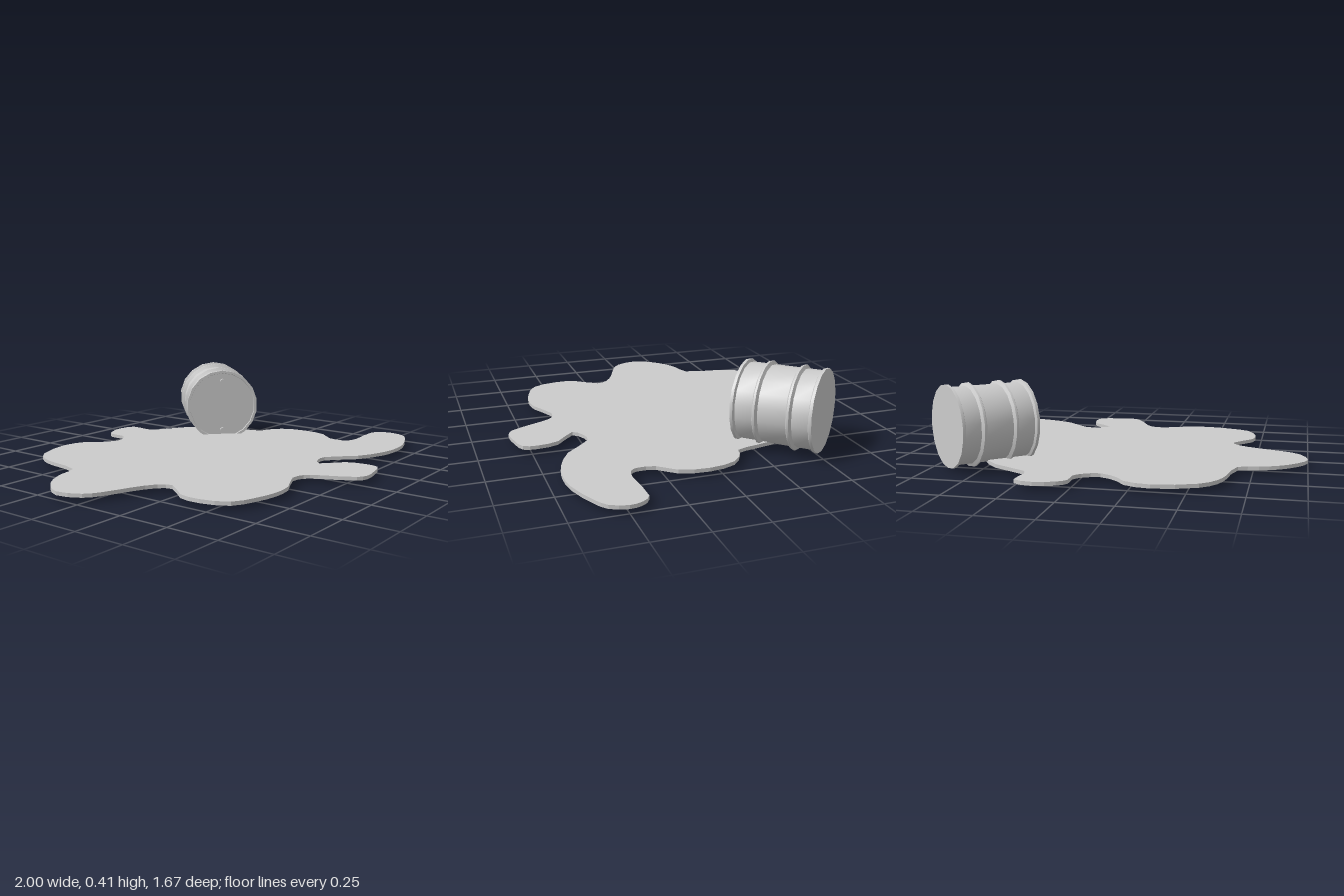
import * as THREE from 'three';
import { toCreasedNormals } from 'three/addons/utils/BufferGeometryUtils.js';

const grey = new THREE.MeshStandardMaterial({ color: 0xcccccc });

function part(name, geometry) {
  const mesh = new THREE.Mesh(geometry, grey);
  mesh.name = name;
  return mesh;
}

// Thin slab with a wavy outline, given as [x, z]
function createPuddle() {
  const outline = [
    [-1, -.13], [-.95, -.22], [-.87, -.29], [-.78, -.33], [-.685, -.355], [-.65, -.53], [-.62, -.63], [-.55, -.71],
    [-.35, -.77], [-.23, -.735], [-.19, -.68], [-.10, -.62], [-.02, -.65], [.01, -.69], [.01, -.77], [.05, -.81],
    [.15, -.838], [.24, -.81], [.23, -.70], [.25, -.65], [.42, -.55], [.52, -.42], [.57, -.25],
    [.60, -.14], [.64, -.13], [.72, -.07], [.755, .06], [.73, .20], [.66, .28], [.65, .36], [.67, .395],
    [.74, .41], [.94, .40], [.985, .44], [1, .50], [.97, .58], [.91, .62], [.75, .68], [.63, .69], [.53, .675],
    [.38, .61], [.25, .485], [.18, .487], [.12, .53], [.22, .62], [.245, .72], [.23, .79],
    [.15, .815], [.05, .828], [0, .80], [-.08, .64], [-.12, .585], [-.19, .57], [-.33, .635], [-.44, .645],
    [-.56, .62], [-.67, .57], [-.72, .44], [-.71, .33], [-.62, .21], [-.65, .15], [-.76, .09], [-.89, .04], [-.96, -.01],
  ];
  const curve = new THREE.CatmullRomCurve3(outline.map(([x, z]) => new THREE.Vector3(x, -z, 0)), true);
  const points = curve.getPoints(outline.length * 2).slice(0, -1);
  const shape = new THREE.Shape(points.map(p => new THREE.Vector2(p.x, p.y)));
  const geometry = new THREE.ExtrudeGeometry(shape, { depth: 0.018, bevelEnabled: false });
  geometry.rotateX(-Math.PI / 2).translate(0, 0.02, 0);
  return part('puddle', geometry);
}

// Drum built along +z (lid end in front), then turned towards its spill
function createBarrel() {
  const half = 0.195, body = 0.187, rim = 0.2, ring = 0.203;
  const profile = [[0, -half], [rim, -half], [rim, -half + 0.014], [body, -half + 0.02]];
  for (const y of [-0.084, 0.078]) {
    profile.push([body, y - 0.014], [ring, y - 0.005], [ring, y + 0.005], [body, y + 0.014]);
  }
  profile.push([body, half - 0.02], [rim, half - 0.014], [rim, half], [0.186, half], [0.184, half - 0.008], [0, half - 0.008]);
  const lathe = new THREE.LatheGeometry(profile.map(([r, y]) => new THREE.Vector2(r, y)), 18);
  const barrel = new THREE.Group();
  barrel.name = 'barrel';
  barrel.add(part('drum', toCreasedNormals(lathe.rotateX(Math.PI / 2), 0.5)));

  // Two bung caps on the lid
  for (const side of [1, -1]) {
    const bung = part('bung', new THREE.CylinderGeometry(0.013, 0.013, 0.02, 10).rotateX(Math.PI / 2));
    bung.position.set(0, side * 0.14, half);
    barrel.add(bung);
  }
  barrel.position.set(0.525, 0.203, -0.4);
  barrel.rotation.y = -Math.PI / 4;
  return barrel;
}

export function createModel() {
  const model = new THREE.Group();
  model.name = 'spilledBarrel';
  model.add(createPuddle(), createBarrel());
  return model;
}
